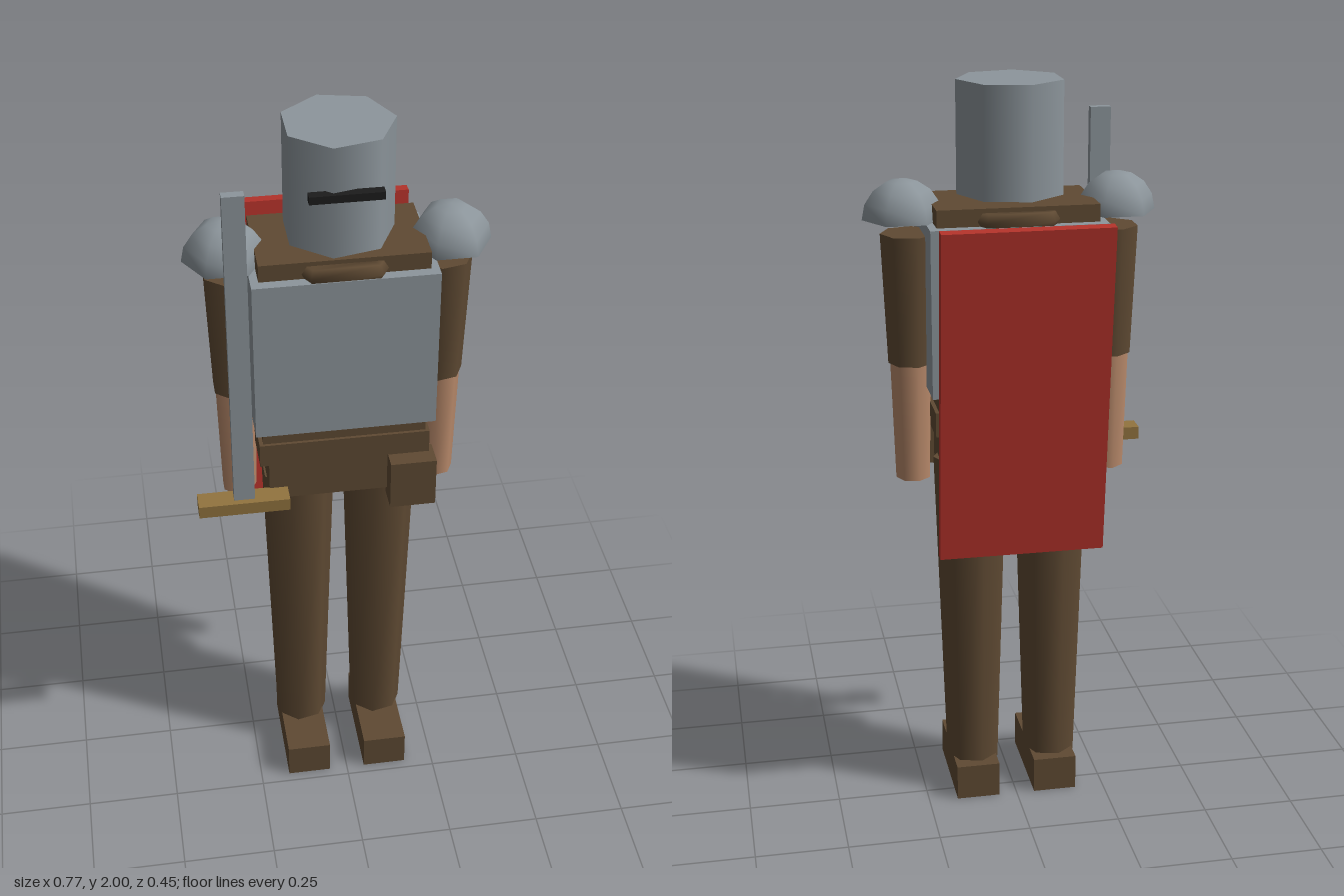
import * as THREE from 'three';

const material = (name, color, side = THREE.FrontSide) => {
  const m = new THREE.MeshStandardMaterial({ color, side });
  m.name = name;
  return m;
};

export function createModel() {
  const steel = material('steel', 0x8d969c, THREE.DoubleSide);
  const leather = material('leather', 0x5f4a33);
  const skin = material('skin', 0xb98a6b);
  const red = material('red', 0xb5332b);
  const brass = material('brass', 0x92743f);
  const black = material('black', 0x1c1c1c);

  const model = new THREE.Group();
  model.name = 'knight';
  const Z = 0.037; // depth of the body's axis

  const add = (name, geometry, mat, x, y, z) => {
    const mesh = new THREE.Mesh(geometry, mat);
    mesh.name = name;
    mesh.position.set(x, y, z);
    model.add(mesh);
    return mesh;
  };
  // Box given by its limits on each axis
  const box = (name, mat, [x0, x1], [y0, y1], [z0, z1]) =>
    add(name, new THREE.BoxGeometry(x1 - x0, y1 - y0, z1 - z0), mat,
      (x0 + x1) / 2, (y0 + y1) / 2, (z0 + z1) / 2);
  // Seven-sided upright limb with one corner towards +x
  const limb = (name, mat, x, y0, y1, rBottom, rTop) =>
    add(name, new THREE.CylinderGeometry(rTop, rBottom, y1 - y0, 7, 1, false, Math.PI / 2),
      mat, x, (y0 + y1) / 2, Z);

  // Head
  limb('helmet', steel, 0, 1.71, 2, 0.14, 0.14);
  box('visorSlit', black, [-0.09, 0.09], [1.865, 1.885], [0.16, 0.185]);
  limb('neck', skin, 0, 1.66, 1.74, 0.055, 0.055);

  // Trunk
  box('torso', leather, [-0.21, 0.21], [1.1, 1.695], [-0.083, 0.157]);
  const collar = new THREE.TorusGeometry(0.15, 0.025, 6, 6).rotateX(Math.PI / 2);
  add('collar', collar, leather, 0, 1.662, Z);
  box('breastplate', steel, [-0.23, 0.23], [1.21, 1.65], [-0.111, 0.185]);
  box('belt', leather, [-0.22, 0.22], [1.1, 1.165], [-0.09, 0.165]);
  box('pelvis', leather, [-0.195, 0.195], [0.975, 1.1], [-0.07, 0.144]);
  box('pouch', leather, [0.115, 0.235], [0.95, 1.09], [0.125, 0.197]);

  // Limbs and shoulder guards
  for (const [side, s] of [['left', 1], ['right', -1]]) {
    limb(side + 'Leg', leather, s * 0.11, 0.09, 1.0, 0.073, 0.1);
    const foot = [s * 0.05, s * 0.17].sort((a, b) => a - b);
    box(side + 'Boot', leather, foot, [0, 0.1], [-0.06, 0.223]);
    limb(side + 'Sleeve', leather, s * 0.265, 1.27, 1.615, 0.06, 0.074);
    limb(side + 'Forearm', skin, s * 0.265, 0.95, 1.27, 0.046, 0.055);
    add(side + 'ShoulderGuard',
      new THREE.SphereGeometry(0.104, 6, 4, 0, Math.PI * 2, 0, Math.PI / 2),
      steel, s * 0.28, 1.652, Z);
  }

  // Sword
  box('swordBlade', steel, [-0.292, -0.238], [1.0, 1.9], [0.157, 0.181]);
  box('swordGuard', brass, [-0.385, -0.148], [0.975, 1.01], [0.14, 0.197]);

  // Shield leaning behind the back
  const shield = add('shield', new THREE.BoxGeometry(0.44, 0.9, 0.03), red, 0, 1.22, -0.163);
  shield.rotation.x = -0.103;

  return model;
}
